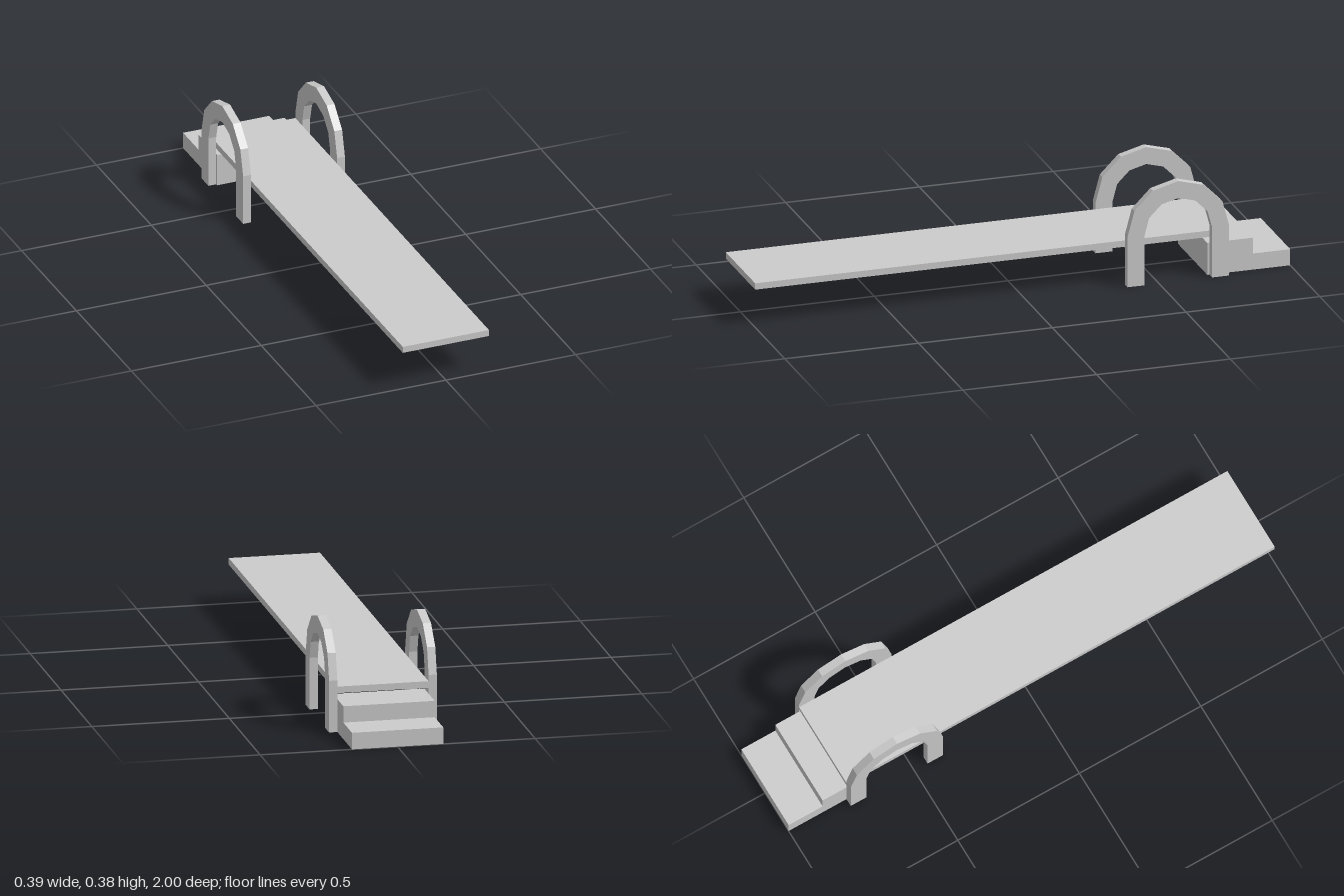
import * as THREE from 'three';

const material = new THREE.MeshStandardMaterial({ color: 0xcccccc, flatShading: true });

// Extrudes a side profile of [z, y] points across x, centred on x = 0
function extrudeSide(points, width) {
  const shape = new THREE.Shape(points.map(([z, y]) => new THREE.Vector2(z, y)));
  const geometry = new THREE.ExtrudeGeometry(shape, { depth: width, bevelEnabled: false });
  geometry.translate(0, 0, -width / 2);
  geometry.rotateY(-Math.PI / 2);
  return geometry;
}

function addMesh(group, name, geometry, x = 0, y = 0, z = 0) {
  const mesh = new THREE.Mesh(geometry, material);
  mesh.name = name;
  mesh.position.set(x, y, z);
  group.add(mesh);
}

export function createModel() {
  const model = new THREE.Group();
  model.name = 'divingBoard';
  const width = 0.332;

  // Long floating plank
  addMesh(model, 'board', new THREE.BoxGeometry(width, 0.024, 1.762), 0, 0.155, 0.119);

  // Two steps at the back
  const steps = [[-0.69, 0], [-0.69, 0.121], [-0.86, 0.121], [-0.86, 0.061], [-1, 0.061], [-1, 0]];
  addMesh(model, 'steps', extrudeSide(steps, width));

  // Arched handrails: straight legs with a six-segment half ring on top
  const outer = 0.19, inner = 0.126, spring = 0.19, segments = 6;
  const arc = (r) => Array.from({ length: segments + 1 }, (_, i) => {
    const a = (i / segments) * Math.PI;
    return [r * Math.cos(a), spring + r * Math.sin(a)];
  });
  const profile = [
    [outer, 0], ...arc(outer), [-outer, 0],
    [-inner, 0], ...arc(inner).reverse(), [inner, 0],
  ];
  const rail = extrudeSide(profile, 0.03);
  addMesh(model, 'leftHandrail', rail, 0.181, 0, -0.572);
  addMesh(model, 'rightHandrail', rail, -0.181, 0, -0.572);

  return model;
}
